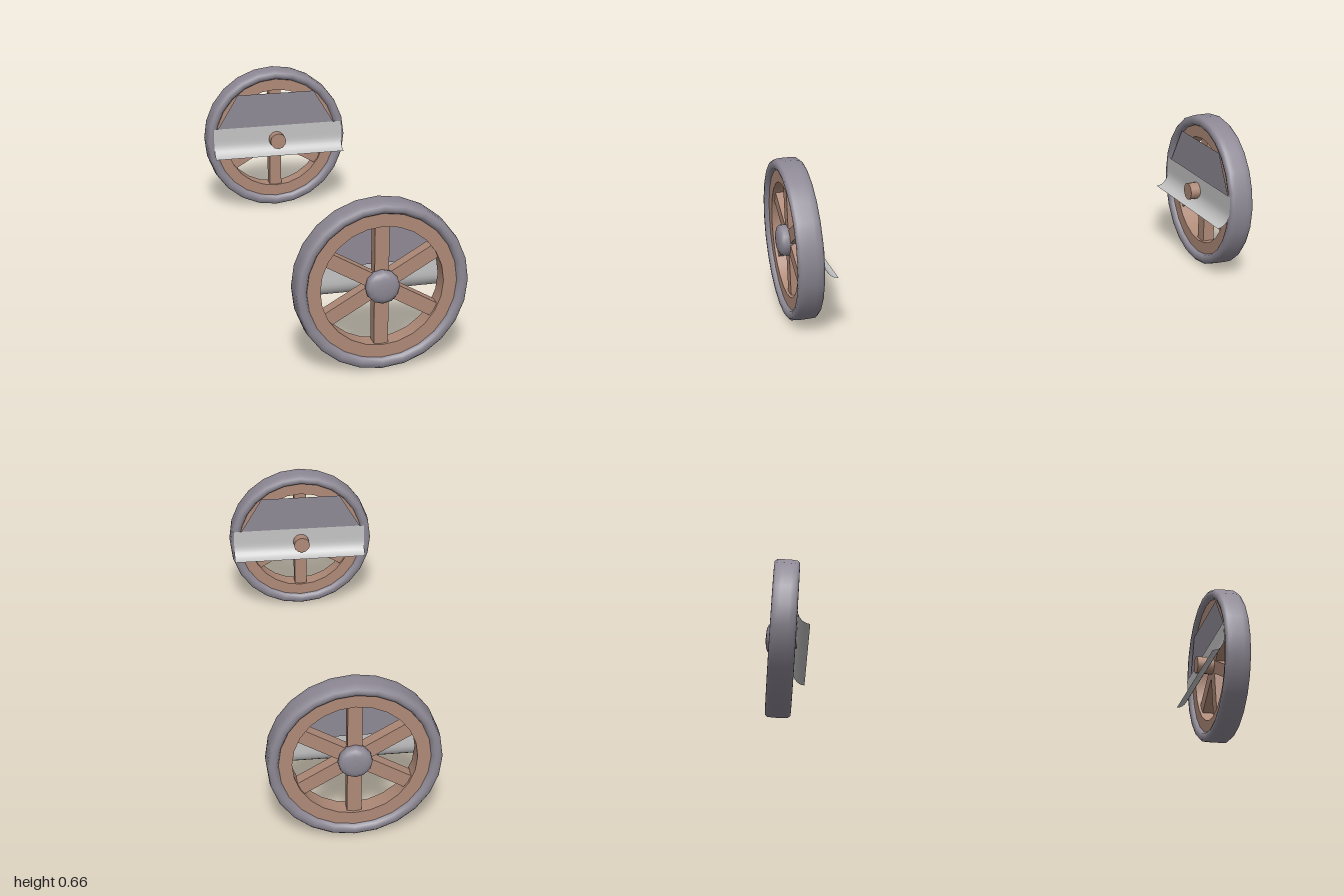
import * as THREE from 'three';
import { toCreasedNormals } from 'three/addons/utils/BufferGeometryUtils.js';

const AXLE_Y = 0.332;
const tyreGrey = new THREE.MeshStandardMaterial({ color: 0x8e8995, side: THREE.DoubleSide });
tyreGrey.name = 'tyre grey';
const wood = new THREE.MeshStandardMaterial({ color: 0xae8977 });
wood.name = 'wood brown';
const sheetMetal = new THREE.MeshStandardMaterial({ color: 0xc4c4c4, side: THREE.DoubleSide });
sheetMetal.name = 'sheet metal';

function add(group, name, geometry, material) {
  const mesh = new THREE.Mesh(geometry, material);
  mesh.name = name;
  group.add(mesh);
  return mesh;
}

// Lathe around z from [radius, z] points, running from low z to high z on the outside
function latheZ(points, sides) {
  return new THREE.LatheGeometry(points.map(([r, z]) => new THREE.Vector2(r, z)), sides).rotateX(Math.PI / 2);
}

// One wheel centred on its axle, outer side facing +z
function createWheel(plateShift) {
  const wheel = new THREE.Group();

  // Rounded tyre
  add(wheel, 'tyre', latheZ([
    [0.287, -0.036], [0.293, -0.049], [0.305, -0.053], [0.32, -0.052], [0.329, -0.042], [0.331, -0.02],
    [0.331, 0.02], [0.329, 0.042], [0.32, 0.052], [0.305, 0.053], [0.293, 0.049], [0.287, 0.036],
  ], 24), tyreGrey);

  // Square-section rim
  const rim = latheZ([[0.236, -0.036], [0.289, -0.036], [0.289, 0.036], [0.236, 0.036], [0.236, -0.036]], 24);
  add(wheel, 'rim', toCreasedNormals(rim, 0.6), wood);

  // Three bars form the six spokes
  for (let i = 0; i < 3; i++) {
    const bar = add(wheel, 'spokeBar', new THREE.BoxGeometry(0.055, 0.49, 0.05), wood);
    bar.rotation.z = i * Math.PI / 3;
  }

  // Domed hub cap and inner axle stub
  add(wheel, 'hubCap', latheZ([
    [0.04, 0.0], [0.062, 0.015], [0.066, 0.035], [0.064, 0.048], [0.057, 0.059], [0.04, 0.066], [0.02, 0.068], [0, 0.069],
  ], 12), tyreGrey);
  const stub = add(wheel, 'axleStub', new THREE.CylinderGeometry(0.037, 0.037, 0.097, 12).rotateX(Math.PI / 2), wood);
  stub.position.z = -0.0485;

  // Upper panel on the inner side
  const panel = new THREE.Shape();
  panel.moveTo(-0.28, 0.06);
  panel.lineTo(0.28, 0.06);
  panel.lineTo(0.182, 0.222);
  panel.lineTo(-0.182, 0.222);
  add(wheel, 'upperPanel', new THREE.ShapeGeometry(panel), tyreGrey).position.z = -0.046;

  // Thin plate that curls inwards along its lower edge
  const plate = new THREE.PlaneGeometry(0.612, 1, 1, 10);
  const pos = plate.attributes.position;
  for (let i = 0; i < pos.count; i++) {
    const t = 0.5 - pos.getY(i);
    const curl = Math.max(0, (t - 0.35) / 0.65);
    const angle = curl * Math.PI / 2;
    const y = t < 0.35 ? 0.066 - t * 0.2 : -0.004 - 0.063 * Math.sin(angle);
    pos.setXYZ(i, pos.getX(i) + plateShift, y, -0.053 - 0.053 * (1 - Math.cos(angle)));
  }
  plate.computeVertexNormals();
  add(wheel, 'curledPlate', plate, sheetMetal);
  return wheel;
}

export function createModel() {
  const model = new THREE.Group();
  model.name = 'wheelPair';
  for (const side of [1, -1]) {
    const wheel = createWheel(0.008 * side);
    wheel.name = side > 0 ? 'frontWheel' : 'backWheel';
    wheel.position.set(0, AXLE_Y, 0.931 * side);
    if (side < 0) wheel.rotation.y = Math.PI;
    model.add(wheel);
  }
  return model;
}
